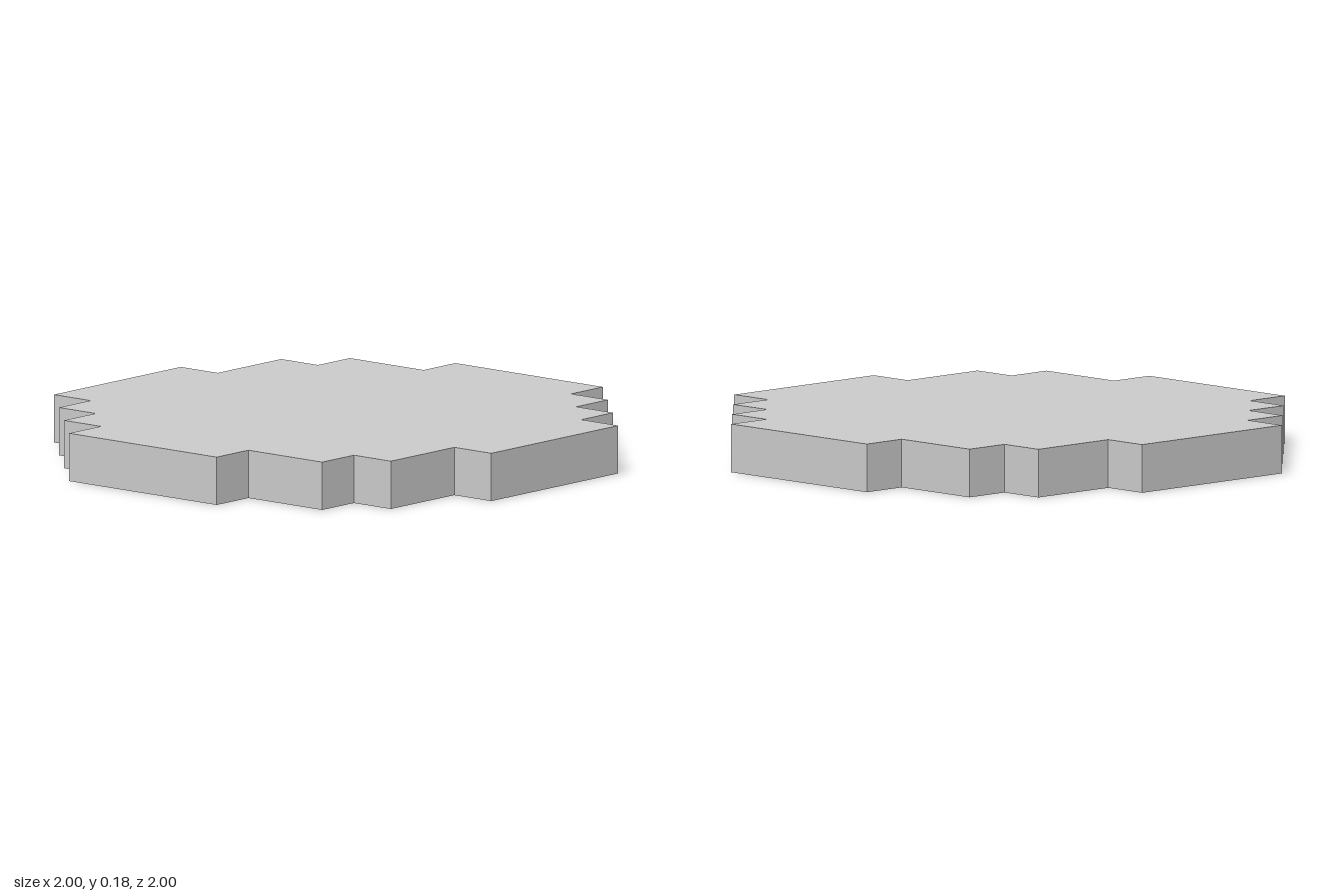
import * as THREE from 'three';

// The slab is laid out on an 11 x 11 grid; one unit is half a cell.
const UNIT = 1 / 11;
const HEIGHT = 2 * UNIT;

// Half of the stepped outline as (x, z); the other half is its half-turn.
const HALF_OUTLINE = [
  [-3, -11], [5, -11], [5, -9], [7, -9], [7, -7], [9, -7], [9, -5],
  [11, -5], [11, 3], [9, 3], [9, 7], [7, 7], [7, 9], [3, 9],
];

export function createModel() {
  const group = new THREE.Group();
  group.name = 'steppedDisc';

  const outline = [...HALF_OUTLINE, ...HALF_OUTLINE.map(([x, z]) => [-x, -z])];
  const shape = new THREE.Shape(
    outline.map(([x, z]) => new THREE.Vector2(x * UNIT, -z * UNIT))
  );

  // Extrude the outline and lay it flat on the ground
  const geometry = new THREE.ExtrudeGeometry(shape, { depth: HEIGHT, bevelEnabled: false });
  geometry.rotateX(-Math.PI / 2);

  const slab = new THREE.Mesh(
    geometry,
    new THREE.MeshStandardMaterial({ color: 0xcccccc, flatShading: true })
  );
  slab.name = 'slab';
  group.add(slab);
  return group;
}
